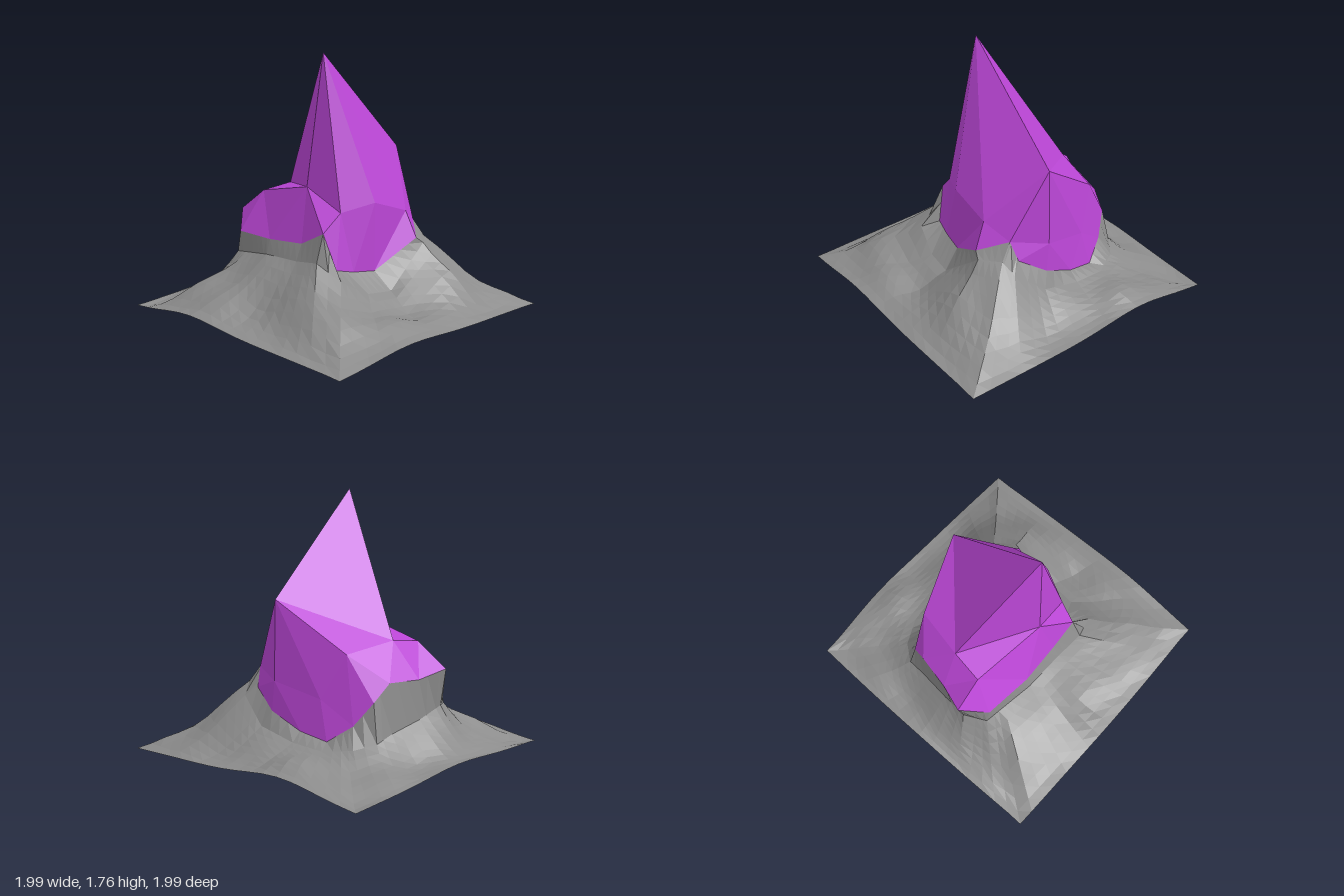
import * as THREE from 'three';

const V = (x, y, z) => new THREE.Vector3(x, y, z);
const points = rows => rows.map(r => V(...r));

// Crystal loops, counter-clockwise from the front seen from above
const rim = points([
  [-0.33, 0.38, 0.32], [-0.2, 0.35, 0.35], [-0.03, 0.33, 0.38],
  [0.3, 0.51, 0.46], [0.455, 0.59, 0.3], [0.51, 0.46, 0.27],
  [0.57, 0.34, 0.08], [0.55, 0.24, -0.15], [0.52, 0.2, -0.35],
  [0.44, 0.31, -0.5], [0.36, 0.46, -0.6], [0.24, 0.57, -0.63],
  [0, 0.56, -0.68], [-0.2, 0.61, -0.75], [-0.35, 0.49, -0.6],
  [-0.39, 0.5, -0.25], [-0.38, 0.52, 0.05], [-0.38, 0.62, 0.25],
]);
const backNotch = V(0.04, 0.8, -0.5);
const waist = [
  ...points([[-0.25, 0.74, 0.28], [-0.03, 0.79, 0.38], [0.28, 0.69, 0.38]]),
  rim[4],
  ...points([[0.565, 0.54, 0.06], [0.5, 0.46, -0.28], [0.41, 0.75, -0.42]]),
  backNotch,
  ...points([[-0.19, 0.77, -0.53], [-0.28, 0.88, 0]]),
];
// Corners of the sloping top facet
const ridge = [V(-0.2, 1.76, 0.075), V(0.55, 1.07, 0.06), backNotch];

// Foot of the rock collar, one point below each rim point
const foot = points([
  [-0.4, 0.34, 0.43], [-0.2, 0.23, 0.48], [0, 0.21, 0.5],
  [0.35, 0.47, 0.48], [0.48, 0.48, 0.38], [0.56, 0.4, 0.34],
  [0.62, 0.24, 0.13], [0.62, 0.18, -0.15], [0.6, 0.16, -0.38],
  [0.51, 0.18, -0.56], [0.39, 0.21, -0.65], [0.25, 0.25, -0.66],
  [0, 0.3, -0.69], [-0.2, 0.36, -0.71], [-0.35, 0.34, -0.63],
  [-0.42, 0.4, -0.25], [-0.43, 0.41, 0.05], [-0.45, 0.44, 0.26],
]);

// Hollows and bumps of the ground: x, z, height, radius
const swells = [
  [-0.08, 0.64, -0.05, 0.17], [-0.83, 0.03, -0.04, 0.2], [-0.72, 0.4, 0.03, 0.15],
  [0.36, 0.65, 0.02, 0.14], [0.85, -0.5, 0.03, 0.2], [0.75, 0.05, -0.02, 0.18],
  [-0.5, 0.82, 0.04, 0.22], [0.1, 0.86, 0.04, 0.25],
];

const bell = d => Math.exp(-d * d);

// Join two closed loops; upper[i] fans over the lower loop as far as ends[i]
function zip(upper, lower, ends) {
  const tris = [], n = lower.length;
  const low = j => lower[(j + n) % n];
  const add = (a, b, c) => {
    if (a !== b && b !== c && c !== a) tris.push(a, b, c);
  };
  let j = ends[ends.length - 1] - n;
  upper.forEach((u, i) => {
    for (; j < ends[i]; j++) add(u, low(j), low(j + 1));
    add(u, low(j), upper[(i + 1) % upper.length]);
  });
  return tris;
}

function facetMesh(name, tris, material) {
  const geometry = new THREE.BufferGeometry().setFromPoints(tris);
  geometry.computeVertexNormals();
  const mesh = new THREE.Mesh(geometry, material);
  mesh.name = name;
  return mesh;
}

// Outer border of the ground: a square with bowed sides, each lifted at one place
function makeBorder(perSide) {
  const border = [];
  const lifts = [[0.25, 0.05], [0.75, 0.08], [0.5, 0.03], [0.25, 0.06]];
  lifts.forEach(([place, height], side) => {
    for (let i = 0; i < perSide; i++) {
      const s = i / perSide, bow = Math.sin(Math.PI * s);
      const y = 0.005 + bow * (0.03 + height * bell((s - place) / 0.22));
      const p = V((2 * s - 1) * 0.98, y, 0.975 + 0.02 * bow);
      border.push(p.applyAxisAngle(V(0, 1, 0), side * Math.PI / 2));
    }
  });
  return border;
}

// Fractional position along the rim that faces a border point
function rimPosition(p) {
  const turn = 2 * Math.PI;
  const angle = q => Math.atan2(q.x - 0.08, q.z + 0.12);
  const a = angle(p), n = rim.length;
  for (let i = 0; i < n; i++) {
    const start = angle(rim[i]);
    const span = (angle(rim[(i + 1) % n]) - start + turn) % turn;
    const along = (a - start + turn) % turn;
    if (along < span) return i + along / span;
  }
  return 0;
}

// Move the nearest position onto every rim corner, so rock and crystal meet
function snapToCorners(at) {
  const n = rim.length;
  const gap = (t, k) => Math.min(Math.abs(t - k), n - Math.abs(t - k));
  for (let k = 0; k < n; k++) {
    let best = 0;
    at.forEach((t, i) => { if (gap(t, k) < gap(at[best], k)) best = i; });
    at[best] = k;
  }
  return at;
}

function sample(loop, t) {
  const i = Math.floor(t);
  return loop[i % loop.length].clone().lerp(loop[(i + 1) % loop.length], t - i);
}

// Rings from the crystal rim, down the collar, out to the border
function rockTriangles() {
  const border = makeBorder(16), steps = 8;
  const at = snapToCorners(border.map(rimPosition));
  const rings = [at.map(t => sample(rim, t))];
  for (let k = 0; k <= steps; k++) {
    const t = k / steps;
    rings.push(border.map((edge, i) => {
      const base = sample(foot, at[i]);
      const p = base.clone().lerp(edge, t);
      const power = edge.z < -0.9 ? 2 : 1.4;
      p.y = edge.y + (base.y - edge.y) * Math.pow(1 - t, power);
      // uneven ground, fading out at both ends
      const fade = Math.sin(Math.PI * t);
      let uneven = 0.014 * Math.sin(p.x * 11 + p.z * 5) + 0.012 * Math.sin(p.z * 15 - p.x * 7);
      for (const [x, z, height, radius] of swells) {
        uneven += height * bell(Math.hypot(p.x - x, p.z - z) / radius);
      }
      p.y += fade * uneven;
      return p;
    }));
  }
  const ends = border.map((_, i) => i + 1);
  return rings.slice(1).flatMap((ring, k) => zip(rings[k], ring, ends));
}

export function createModel() {
  const purple = new THREE.MeshStandardMaterial({ color: 0xbb46d6, flatShading: true, side: THREE.DoubleSide });
  purple.name = 'crystal purple';
  const gray = new THREE.MeshStandardMaterial({ color: 0x8c8c8c, flatShading: true, side: THREE.DoubleSide });
  gray.name = 'rock gray';

  const crystal = [
    ...ridge,
    ...zip(ridge, waist, [2, 7, 9]),
    ...zip(waist, rim, [1, 2, 4, 4, 7, 9, 11, 12, 15, 17]),
  ];
  const group = new THREE.Group();
  group.name = 'crystalOutcrop';
  group.add(facetMesh('crystal', crystal, purple), facetMesh('rockGround', rockTriangles(), gray));
  return group;
}
